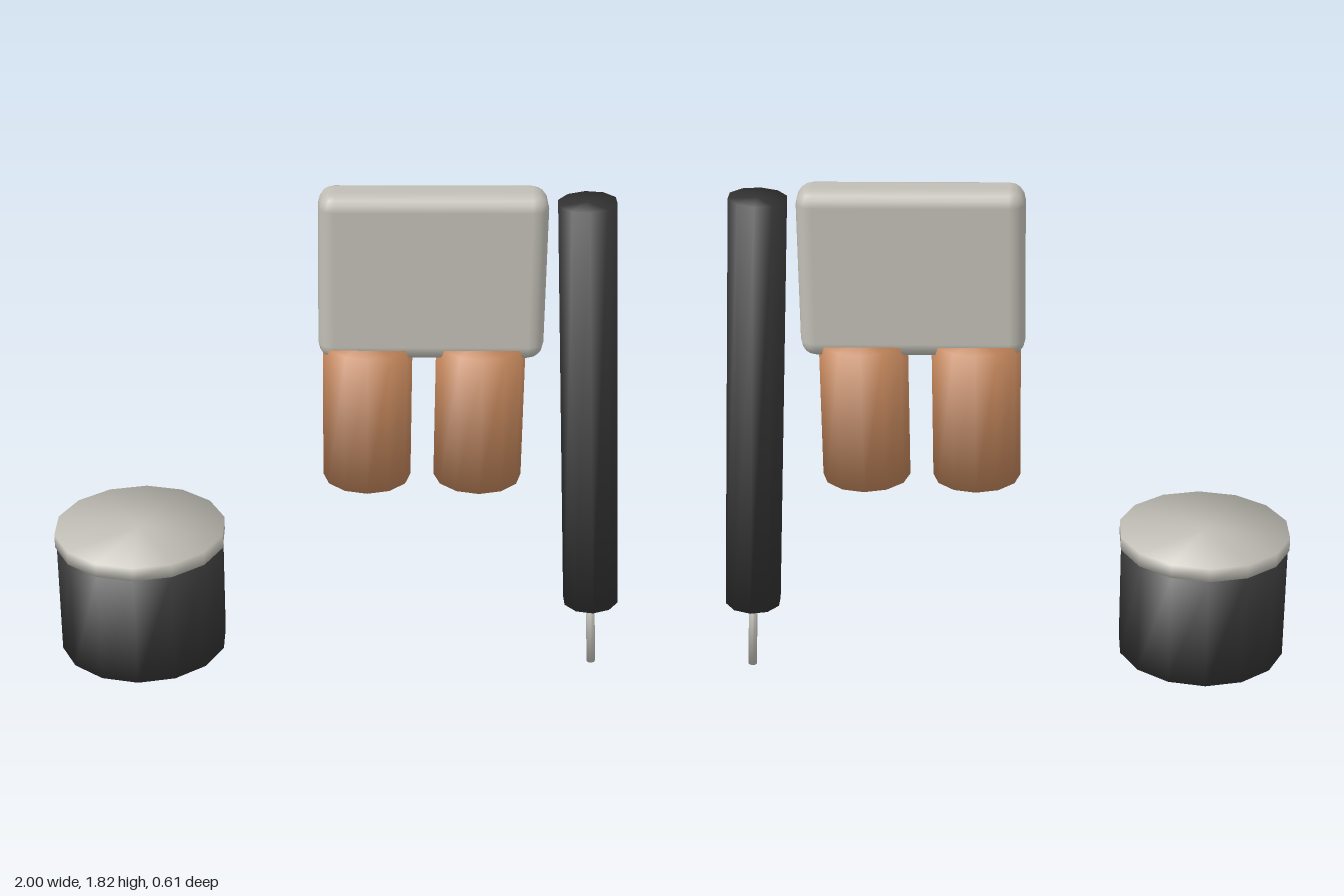
import * as THREE from 'three';
import { RoundedBoxGeometry } from 'three/addons/geometries/RoundedBoxGeometry.js';

const material = (name, color) => {
  const m = new THREE.MeshStandardMaterial({ color });
  m.name = name;
  return m;
};

// Cylinder whose shading runs softly over the rims into the caps
function softCylinder(radius, height, sides) {
  const g = new THREE.CylinderGeometry(radius, radius, height, sides);
  const p = g.attributes.position;
  const n = new THREE.Vector3();
  for (let i = 0; i < p.count; i++) {
    n.set(p.getX(i) / radius, Math.sign(p.getY(i)), p.getZ(i) / radius).normalize();
    g.attributes.normal.setXYZ(i, n.x, n.y, n.z);
  }
  return g;
}

export function createModel() {
  const model = new THREE.Group();
  model.name = 'model';
  const grey = material('warm grey', 0xc0beb5);
  const black = material('soft black', 0x333333);
  const copper = material('copper', 0xc0845a);

  const add = (parent, name, geometry, mat, x, y, z = 0) => {
    const mesh = new THREE.Mesh(geometry, mat);
    mesh.name = name;
    mesh.position.set(x, y, z);
    parent.add(mesh);
    return mesh;
  };

  // Round pot with a thin, slightly wider lid
  const pot = new THREE.Group();
  pot.name = 'pot';
  pot.position.x = -0.704;
  model.add(pot);
  add(pot, 'potBody', softCylinder(0.297, 0.42, 14), black, 0, 0.3);
  add(pot, 'potLid', softCylinder(0.303, 0.05, 14), grey, 0, 0.53);

  // Rounded block with two copper cylinders set into its underside
  const block = new THREE.Group();
  block.name = 'blockWithCylinders';
  block.position.x = 0.31;
  model.add(block);
  add(block, 'block', new RoundedBoxGeometry(0.76, 0.59, 0.164, 2, 0.055), grey, 0, 1.525);
  for (const [side, x] of [['right', -0.213], ['left', 0.171]]) {
    add(block, side + 'Cylinder', softCylinder(0.152, 0.506, 12), copper, x, 1.02);
  }

  // Leaning rod with a thin metal tip
  const rod = new THREE.Group();
  rod.name = 'rod';
  rod.position.set(0.86, 1.0185, 0);
  rod.rotation.z = 0.055;
  model.add(rod);
  add(rod, 'rodBody', softCylinder(0.1, 1.52, 10), black, 0, 0);
  add(rod, 'rodTip', softCylinder(0.0155, 0.28, 8), grey, 0, -0.88);

  return model;
}
